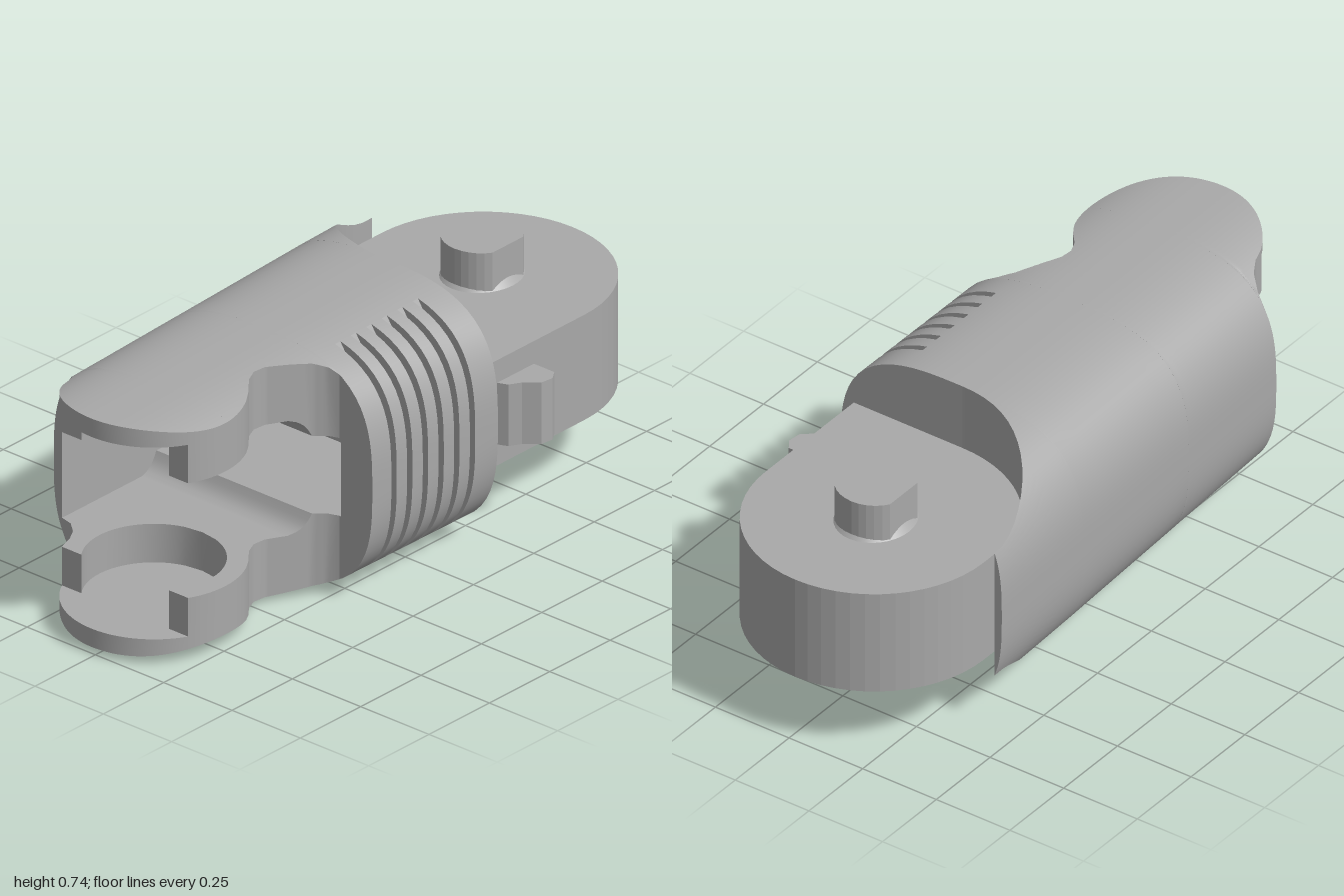
import * as THREE from 'three';
import { toCreasedNormals } from 'three/addons/utils/BufferGeometryUtils.js';

const MID = 0.374, N = 3, ARC = 40; // mid height, superellipse power, outline steps
const INNER_LEFT = -0.36, INNER_RIGHT = 0.28, PIVOT_X = -0.015, PIVOT_Z = 0.74;
const HINGE_Z = -0.63, RIGHT = 0.395;

const range = (a, b, n) => Array.from({ length: n + 1 }, (_, i) => a + (b - a) * i / n);
const mix = (pts, z) => { // piecewise linear lookup in [z, value] pairs
  for (let i = 1; i < pts.length; i++) {
    if (z <= pts[i][0]) {
      const [a, b] = [pts[i - 1], pts[i]];
      return b[1] + (a[1] - b[1]) * THREE.MathUtils.clamp((b[0] - z) / (b[0] - a[0]), 0, 1);
    }
  }
  return pts[pts.length - 1][1];
};

// Rounded outer section at z: centre, half width, half height
function size(z) {
  const left = -0.42 + 0.04 * z;
  return { cx: (left + RIGHT) / 2, a: (RIGHT - left) / 2, b: 0.372 - 0.016 * Math.max(0, z + 0.22) };
}
// Angle on the outline above a given x
function angleAt(x, z) {
  const { cx, a } = size(z);
  const u = THREE.MathUtils.clamp((x - cx) / a, -1, 1);
  return Math.atan2(Math.pow(1 - Math.abs(u) ** N, 1 / N), u);
}
// Upper outline from one angle to another; a groove cuts into the right side
function arc(z, from, to, groove = 0) {
  const { cx, a, b } = size(z);
  return range(from, to, ARC).map(t => {
    const c = Math.cos(t), s = Math.max(0, Math.sin(t));
    const r = 1 / Math.pow(Math.abs(c) ** N + s ** N, 1 / N);
    const k = cx + a * r * c > 0.21 ? 1 - groove : 1;
    return [cx + a * r * c * k, b * r * s * k];
  });
}

// Closed solid from half sections [z, points]; side -1 mirrors it below the middle
function loft(sections, side) {
  const pos = [];
  const tri = (p, q, r) => {
    const v = [p, q, r].map(k => new THREE.Vector3(k[0], MID + side * k[1], k[2]));
    const area = v[1].clone().sub(v[0]).cross(v[2].clone().sub(v[0])).length();
    if (area < 1e-9) return;
    (side > 0 ? v : [v[0], v[2], v[1]]).forEach(k => pos.push(k.x, k.y, k.z));
  };
  const rows = sections.map(([z, pts]) => pts.map(p => [p[0], p[1], z]));
  for (let j = 0; j + 1 < rows.length; j++) {
    const A = rows[j], B = rows[j + 1];
    for (let i = 0; i < A.length; i++) {
      const k = (i + 1) % A.length;
      tri(A[i], B[i], A[k]);
      tri(A[k], B[i], B[k]);
    }
  }
  [[rows[0], -1], [rows[rows.length - 1], 1]].forEach(([row, dir]) => {
    const flat = row.map(p => new THREE.Vector2(p[0], p[1]));
    THREE.ShapeUtils.triangulateShape(flat, []).forEach(([i, j, k]) => {
      const turn = flat[j].clone().sub(flat[i]).cross(flat[k].clone().sub(flat[i]));
      if (turn * dir > 0) tri(row[i], row[j], row[k]); else tri(row[i], row[k], row[j]);
    });
  });
  const g = new THREE.BufferGeometry();
  g.setAttribute('position', new THREE.Float32BufferAttribute(pos, 3));
  return toCreasedNormals(g, 0.6);
}

// Plan outline extruded upward; points are [x, z]
function slab(pts, y0, y1) {
  const shape = new THREE.Shape(pts.map(([x, z]) => new THREE.Vector2(x, -z)));
  const g = new THREE.ExtrudeGeometry(shape, { depth: y1 - y0, bevelEnabled: false });
  return toCreasedNormals(g.rotateX(-Math.PI / 2).translate(0, y0, 0), 0.1);
}

// Plan edges of the jaws
const jawCircle = z => Math.sqrt(Math.max(0, 0.26 ** 2 - (z - PIVOT_Z) ** 2));
const jawRight = z => z > 0.62 ? PIVOT_X + jawCircle(z) : mix([[0.295, 0.29], [0.31, 0.245], [0.34, 0.21],
  [0.4, 0.175], [0.46, 0.142], [0.5, 0.138], [0.54, 0.155], [0.58, 0.19], [0.62, 0.216]], z);
const jawLeft = z => z > 0.85 ? PIVOT_X - jawCircle(z)
  : mix([[0.73, -0.36], [0.74, -0.32], [0.77, -0.285], [0.81, -0.262], [0.85, -0.25]], z);
const gap = z => mix([[0.34, 0.12], [0.355, 0.15], [0.375, 0.168], [0.4, 0.177]], z);

// Underside of a jaw with its round socket
function underside(z) {
  const h = Math.sqrt(Math.max(0, 0.2 ** 2 - (z - PIVOT_Z) ** 2)), g = gap(z), top = h > 0 ? 0.296 : g;
  return [[jawRight(z), g], [PIVOT_X + h, g], [PIVOT_X + h, top], [PIVOT_X - h, top], [PIVOT_X - h, g]];
}

export function createModel() {
  const model = new THREE.Group();
  const grey = new THREE.MeshStandardMaterial({ color: 0xa9a9a9 });
  grey.name = 'grey plastic';
  const add = (name, geometry) => {
    const mesh = new THREE.Mesh(geometry, grey);
    mesh.name = name;
    model.add(mesh);
  };

  // Sleeve with grip grooves on its right side
  const sleeve = [];
  const ring = (z, groove) => sleeve.push([z, [...arc(z, Math.PI, 0, groove),
    [INNER_RIGHT, 0], [INNER_RIGHT, 0.12], [INNER_LEFT, 0.12], [INNER_LEFT, 0]]]);
  ring(-0.22, 0);
  for (let i = 0; i < 6; i++) {
    const z = -0.115 + i * 0.065;
    ring(z - 0.011, 0); ring(z - 0.011, 0.06); ring(z + 0.011, 0.06); ring(z + 0.011, 0);
  }
  ring(0.3, 0);

  // Rear wing, cut by a cylinder around the hinge
  const wing = range(0, Math.PI / 2, 16).map(t => {
    const z = -0.62 + 0.4 * Math.sin(t), x = -0.02 - 0.4 * Math.cos(t);
    return [z, [...arc(z, Math.PI, angleAt(x, z)), [x, 0]]];
  });

  // Jaw root with the left wall, then the socket, then the thin tip
  const root = [...range(0.3, 0.53, 23), ...range(0.54, 0.73, 24)].map(z => [z,
    [...arc(z, Math.PI, angleAt(jawRight(z), z)), ...underside(z), [INNER_LEFT, gap(z)], [INNER_LEFT, 0]]]);
  const socket = range(0.73, 0.86, 13).map(z => [z,
    [...arc(z, angleAt(jawLeft(z), z), angleAt(jawRight(z), z)), ...underside(z), [jawLeft(z), gap(z)]]]);
  const tip = range(0, 1, 16).map(k => {
    const z = 1 - 0.14 * (1 - k) ** 2;
    return [z, [...arc(z, angleAt(jawLeft(z), z), angleAt(jawRight(z), z)),
      [jawRight(z), 0.296], [jawLeft(z), 0.296]]];
  });

  [[1, 'upper'], [-1, 'lower']].forEach(([side, label]) => {
    add(label + 'Sleeve', loft(sleeve, side));
    add(label + 'RearWing', loft(wing, side));
    add(label + 'JawRoot', loft(root, side));
    add(label + 'JawSocket', loft(socket, side));
    add(label + 'JawTip', loft(tip, side));
  });

  // Hinge block with rounded rear end
  const end = range(0, Math.PI, 28).map(t => [-0.02 + 0.37 * Math.cos(t), HINGE_Z - 0.37 * Math.sin(t)]);
  add('hingeBlock', slab([...end, [-0.39, -0.21], [-0.3, -0.12], [0.3, -0.12], [0.35, -0.21]], 0.215, 0.54));

  // Core filling the back of the cavity
  add('cavityCore', new THREE.BoxGeometry(0.46, 0.24, 0.12).translate(-0.08, MID, -0.09));

  // Pivot peg: round with two flat sides, on flared collars
  const peg = r => range(0, 2 * Math.PI, 32).slice(0, 32).map(t => [
    -0.025 + THREE.MathUtils.clamp(r * Math.cos(t), -r * 0.82, r * 0.82), HINGE_Z - r * Math.sin(t)]);
  add('pivotPeg', slab(peg(0.115), 0.09, 0.66));
  [[0.54, 1], [0.215, -1]].forEach(([y, s]) => {
    const collar = new THREE.CylinderGeometry(s > 0 ? 0.105 : 0.125, s > 0 ? 0.125 : 0.105, 0.02, 32);
    add('pegCollar', collar.scale(0.9, 1, 1).translate(-0.025, y + s * 0.01, HINGE_Z));
  });

  // Stop tab on the side of the hinge
  add('stopTab', slab([[0.33, -0.42], [0.425, -0.42], [0.445, -0.39], [0.44, -0.35],
    [0.4, -0.315], [0.38, -0.28], [0.33, -0.26]].reverse(), 0.28, 0.47));

  return model;
}
